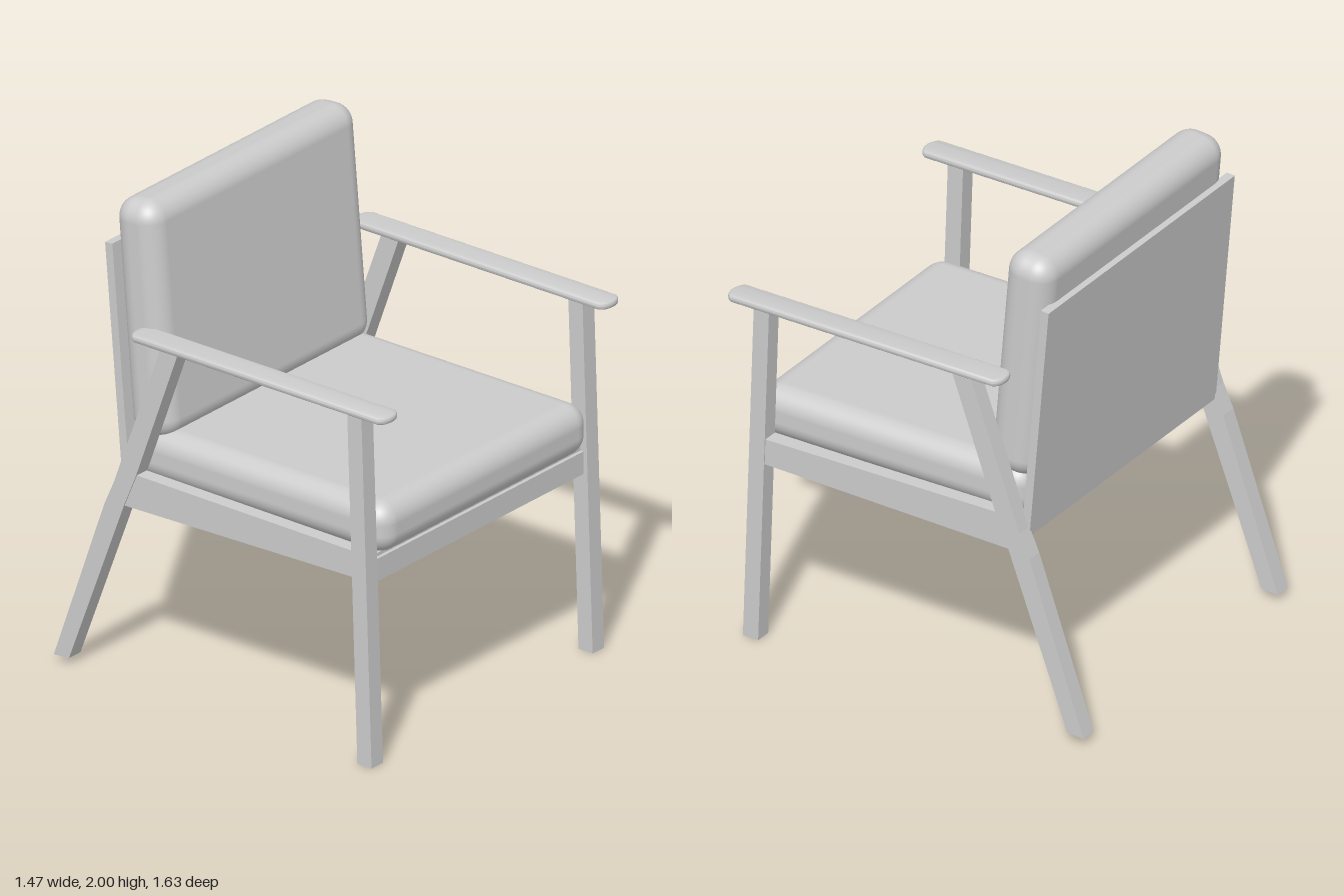
import * as THREE from 'three';
import { RoundedBoxGeometry } from 'three/addons/geometries/RoundedBoxGeometry.js';
import { toCreasedNormals } from 'three/addons/utils/BufferGeometryUtils.js';

const material = new THREE.MeshStandardMaterial({ color: 0xcccccc });
const TILT = -0.087; // lean of the backrest

function part(name, geometry, x = 0, y = 0, z = 0, tilt = 0) {
  const mesh = new THREE.Mesh(geometry, material);
  mesh.name = name;
  mesh.position.set(x, y, z);
  mesh.rotation.x = tilt;
  return mesh;
}

// Flat timber cut from a side outline of [z, y] points, centred on x = 0
function timber(outline, width) {
  const shape = new THREE.Shape(outline.map(([z, y]) => new THREE.Vector2(z, y)));
  return new THREE.ExtrudeGeometry(shape, { depth: width, bevelEnabled: false })
    .translate(0, 0, -width / 2)
    .rotateY(-Math.PI / 2);
}

// Thin arm with softly bowed ends and rounded edges
function armrestGeometry() {
  const bevel = 0.012, w = 0.058 - bevel, front = 0.785, back = -0.41;
  const shape = new THREE.Shape();
  shape.moveTo(-w, back);
  shape.bezierCurveTo(-w * 0.7, back - 0.03, w * 0.7, back - 0.03, w, back);
  shape.lineTo(w, front);
  shape.bezierCurveTo(w * 0.7, front + 0.03, -w * 0.7, front + 0.03, -w, front);
  shape.closePath();
  const geometry = new THREE.ExtrudeGeometry(shape, {
    depth: 0.03 - 2 * bevel, bevelThickness: bevel, bevelSize: bevel, bevelSegments: 4, curveSegments: 10,
  });
  geometry.rotateX(Math.PI / 2).translate(0, 1.495 - bevel, 0);
  return toCreasedNormals(geometry, 0.9);
}

export function createModel() {
  const chair = new THREE.Group();
  chair.name = 'armchair';

  const frontLeg = timber([[0.68, 0], [0.75, 0], [0.70, 1.47], [0.63, 1.47]], 0.07);
  const rearLeg = timber([
    [-0.815, 0.028], [-0.74, 0.034], [-0.47, 0.755], [-0.41, 0.90],
    [-0.205, 1.47], [-0.29, 1.47], [-0.52, 0.84], [-0.565, 0.74],
  ], 0.07);
  const sideRail = timber([[-0.475, 0.755], [0.66, 0.78], [0.66, 0.89], [-0.415, 0.90]], 0.06);
  const armrest = armrestGeometry();

  // Mirrored side frames
  for (const [side, s] of [['left', 1], ['right', -1]]) {
    const frame = new THREE.Group();
    frame.name = `${side}SideFrame`;
    const x = s * 0.675 - 0.008;
    frame.add(
      part('frontLeg', frontLeg, x),
      part('rearLeg', rearLeg, x),
      part('sideRail', sideRail, x),
      part('armrest', armrest, s * 0.675),
    );
    chair.add(frame);
  }

  // Seat base and back panel
  chair.add(
    part('frontRail', new THREE.BoxGeometry(1.29, 0.095, 0.04), -0.008, 0.793, 0.685),
    part('seatPanel', new THREE.BoxGeometry(1.29, 0.025, 1.19), -0.008, 0.842, 0.095),
    part('backPanel', new THREE.BoxGeometry(1.295, 1.01, 0.036), -0.008, 1.305, -0.551, TILT),
  );

  // Cushions
  chair.add(
    part('seatCushion', new RoundedBoxGeometry(1.275, 0.215, 1.252, 6, 0.085), -0.008, 0.957, 0.126),
    part('backCushion', new RoundedBoxGeometry(1.275, 0.982, 0.21, 6, 0.085), -0.008, 1.51, -0.455, TILT),
  );

  return chair;
}
